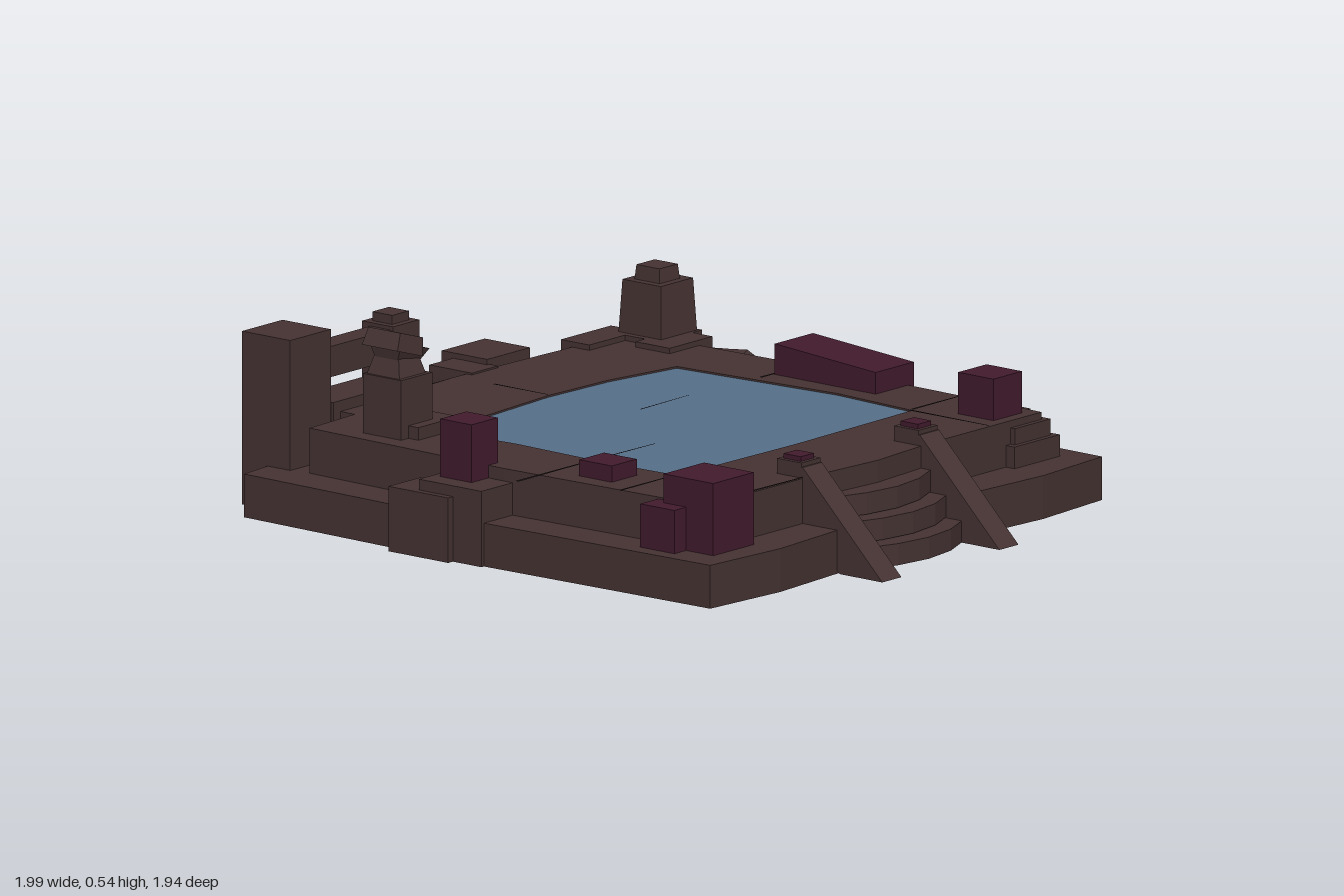
import * as THREE from 'three';

const mat = (color) => new THREE.MeshStandardMaterial({ color, flatShading: true, side: THREE.DoubleSide });

export function createModel() {
  const model = new THREE.Group();
  const stone = mat(0x463333), crateRed = mat(0x421b2d), water = mat(0x56708a), crack = mat(0x1c1414);

  const add = (name, geometry, material = stone, parent = model) => {
    const mesh = new THREE.Mesh(geometry, material);
    mesh.name = name;
    parent.add(mesh);
    return mesh;
  };
  // Block given by its limits; taper narrows the top
  const block = (name, x0, x1, y0, y1, z0, z1, material = stone, taper = 1, parent = model) => {
    const g = new THREE.BoxGeometry(x1 - x0, y1 - y0, z1 - z0);
    const p = g.attributes.position;
    for (let i = 0; i < p.count; i++) {
      if (p.getY(i) > 0) p.setXYZ(i, p.getX(i) * taper, p.getY(i), p.getZ(i) * taper);
    }
    const mesh = add(name, g, material, parent);
    mesh.position.set((x0 + x1) / 2, (y0 + y1) / 2, (z0 + z1) / 2);
    return mesh;
  };
  const vecs = (pts) => pts.map(([x, z]) => new THREE.Vector2(x, -z));
  // Horizontal sheet from an outline in x and z, with an optional opening
  const sheet = (name, pts, y, hole, material = stone) => {
    const s = new THREE.Shape(vecs(pts));
    if (hole) s.holes.push(new THREE.Path(vecs(hole)));
    add(name, new THREE.ShapeGeometry(s).rotateX(-Math.PI / 2).translate(0, y, 0), material);
  };
  // Upright wall that follows a closed outline
  const wall = (name, pts, y0, y1) => {
    const pos = [], index = [], n = pts.length;
    pts.forEach(([x, z], i) => {
      pos.push(x, y0, z, x, y1, z);
      const a = 2 * i, b = 2 * ((i + 1) % n);
      index.push(a, a + 1, b, b, a + 1, b + 1);
    });
    const g = new THREE.BufferGeometry();
    g.setAttribute('position', new THREE.Float32BufferAttribute(pos, 3));
    g.setIndex(index);
    g.computeVertexNormals();
    add(name, g);
  };

  // Two hollow tiers around the pool
  const lower = [[-0.95, -0.83], [-0.84, -0.84], [-0.13, -0.85], [0.4, -0.85], [0.69, -0.83], [0.7, 0], [0.69, 0.81],
    [0.42, 0.83], [0.12, 0.81], [0.12, 0.72], [-0.4, 0.72], [-0.4, 0.81], [-0.68, 0.83], [-0.95, 0.81], [-0.97, 0]];
  const upper = [[-0.83, -0.7], [-0.63, -0.71], [-0.63, -0.76], [-0.13, -0.78], [0.34, -0.76], [0.57, -0.72],
    [0.59, 0], [0.58, 0.69], [0.12, 0.69], [-0.13, 0.71], [-0.4, 0.69], [-0.83, 0.69], [-0.85, 0]];
  const pool = [[-0.63, -0.43], [-0.4, -0.43], [-0.13, -0.45], [0.11, -0.44], [0.35, -0.4], [0.39, 0.13],
    [0.37, 0.41], [-0.13, 0.42], [-0.61, 0.41], [-0.62, 0.13], [-0.61, -0.16]];
  wall('lowerTierWall', lower, 0.01, 0.13);
  sheet('lowerTierTop', lower, 0.13, upper);
  wall('upperTierWall', upper, 0.13, 0.255);
  sheet('upperTierTop', upper, 0.255, pool);
  wall('poolRim', pool, 0.235, 0.255);
  sheet('water', pool, 0.25, null, water);

  // Cracks between the slabs
  for (const [x0, z0, x1, z1, w] of [[-0.95, 0.13, -0.62, 0.13, 0.012], [-0.85, 0.41, -0.61, 0.41, 0.01],
    [0.37, 0.41, 0.58, 0.41, 0.01], [-0.13, -0.64, -0.13, -0.45, 0.008], [0.36, 0.41, 0.36, 0.69, 0.01],
    [-0.7, 0.685, -0.42, 0.69, 0.012], [0.39, -0.14, 0.58, -0.14, 0.01], [-0.62, 0.13, -0.38, 0.135, 0.007],
    [-0.1, -0.15, 0.11, -0.155, 0.005]]) {
    const pts = z0 === 0 || Math.abs(x1 - x0) > Math.abs(z1 - z0)
      ? [[x0, z0 - w / 2], [x1, z1 - w / 4], [x1, z1 + w / 4], [x0, z0 + w / 2]]
      : [[x0 - w / 2, z0], [x1 - w / 4, z1], [x1 + w / 4, z1], [x0 + w / 2, z0]];
    sheet('crack', pts, 0.258, null, crack);
  }

  // Bowed front steps between two sloping stringers
  for (let i = 0; i < 3; i++) {
    const z = 0.82 - i * 0.055;
    const s = new THREE.Shape(vecs([[-0.39, 0.67], [-0.39, z], [-0.24, z + 0.055], [-0.13, z + 0.07],
      [-0.02, z + 0.055], [0.11, z], [0.11, 0.67]]));
    const g = new THREE.ExtrudeGeometry(s, { depth: 0.06, bevelEnabled: false }).rotateX(-Math.PI / 2);
    add('frontStep', g.translate(0, 0.01 + i * 0.062, 0));
  }
  for (const x of [-0.38, 0.11]) {
    const side = new THREE.Shape([[0.97, 0.01], [0.69, 0.285], [0.6, 0.285], [0.6, 0.2], [0.82, 0.01]]
      .map(([z, y]) => new THREE.Vector2(-z, y)));
    const g = new THREE.ExtrudeGeometry(side, { depth: 0.08, bevelEnabled: false });
    add('stepStringer', g.rotateY(Math.PI / 2).translate(x - 0.04, 0, 0));
    block('stringerCap', x - 0.04, x + 0.04, 0.25, 0.297, 0.6, 0.685);
    block('stringerCapTop', x - 0.028, x + 0.028, 0.29, 0.31, 0.612, 0.673, crateRed);
  }

  // Back gateway: two pillars, lintel and the blocks between
  block('gatePillarLarge', -0.84, -0.67, 0.01, 0.49, -0.93, -0.76);
  block('gatePillarSmall', -0.35, -0.24, 0.01, 0.43, -0.92, -0.81);
  block('gatePillarCap', -0.33, -0.26, 0.43, 0.455, -0.9, -0.83);
  block('gateLintel', -0.68, -0.34, 0.335, 0.42, -0.89, -0.82);
  block('gateSill', -0.66, -0.34, 0.13, 0.285, -0.89, -0.76);
  block('gateBackBlock', -0.62, -0.38, 0.1, 0.24, -0.94, -0.85);

  // Back buttresses and blocks
  block('backButtress', 0.02, 0.2, 0.005, 0.275, -0.95, -0.79);
  block('backButtressSide', -0.08, 0.03, 0.08, 0.26, -0.91, -0.76);
  block('backLedge', -0.24, -0.08, 0.13, 0.24, -0.82, -0.74);
  block('backCornerBlock', 0.34, 0.55, 0.08, 0.27, -0.8, -0.7);

  // Back right column
  block('columnBase', 0.45, 0.63, 0.13, 0.27, -0.63, -0.51);
  block('columnFoot', 0.49, 0.67, 0.13, 0.27, -0.75, -0.58);
  block('columnShaft', 0.51, 0.66, 0.27, 0.415, -0.74, -0.59, stone, 0.9);
  block('columnCap', 0.54, 0.625, 0.41, 0.455, -0.71, -0.62, stone, 0.9);

  // Blocks against the sides
  block('leftBlockLow', -1, -0.86, 0.01, 0.19, -0.28, -0.07);
  block('leftBlockHigh', -0.98, -0.83, 0.01, 0.22, -0.19, 0.03);
  block('rightBlock', 0.58, 0.735, 0.01, 0.21, 0.32, 0.52);
  block('rightWedge', 0.57, 0.63, 0.13, 0.27, -0.12, 0.1);
  block('frontRightLedge', 0.43, 0.62, 0.13, 0.19, 0.52, 0.72);
  block('frontRightLedgeTop', 0.45, 0.6, 0.19, 0.235, 0.5, 0.705);

  // Red crates
  block('crateFrontLeft', -0.86, -0.69, 0.13, 0.33, 0.57, 0.745, crateRed);
  block('crateFrontLeftLow', -0.91, -0.77, 0.13, 0.25, 0.53, 0.65, crateRed);
  block('crateLeft', -0.92, -0.81, 0.13, 0.38, -0.165, -0.055, crateRed);
  block('crateLeftSmall', -0.785, -0.68, 0.2, 0.3, 0.21, 0.325, crateRed);
  block('crateFrontRight', 0.42, 0.54, 0.2, 0.37, 0.53, 0.655, crateRed);
  const bench = new THREE.Shape([[-0.215, 0.14], [0.14, 0.14], [0.14, 0.34], [-0.215, 0.315]]
    .map(([z, y]) => new THREE.Vector2(z, y)));
  add('crateRightLong', new THREE.ExtrudeGeometry(bench, { depth: 0.16, bevelEnabled: false })
    .rotateY(Math.PI / 2).translate(0.45, 0, 0), crateRed);

  // Broken post at the back left of the pool
  block('brokenPostBase', -0.75, -0.58, 0.25, 0.29, -0.52, -0.385);
  block('brokenPostShaft', -0.78, -0.65, 0.25, 0.42, -0.555, -0.42);
  block('brokenPostMiddle', -0.775, -0.66, 0.41, 0.47, -0.55, -0.43, stone, 0.72);
  const tip = block('brokenPostTip', -0.755, -0.67, 0.455, 0.5, -0.53, -0.45, stone, 1.45);
  tip.rotation.z = -0.25;
  const shard = block('brokenPostShard', -0.785, -0.675, 0.485, 0.535, -0.55, -0.425, stone, 0.9);
  shard.rotation.z = -0.3;

  // Fallen column with grooves and a sloping broken end
  const fallen = new THREE.Group();
  fallen.name = 'fallenColumn';
  fallen.position.set(0.835, 0.08, -0.755);
  fallen.rotation.y = Math.atan2(0.2, 0.375);
  model.add(fallen);
  block('fallenCore', -0.055, 0.055, -0.06, 0.06, -0.2, 0.05, stone, 1, fallen);
  block('fallenEnd', -0.066, 0.066, -0.07, 0.07, -0.21, -0.17, stone, 1, fallen);
  block('fallenBand', -0.066, 0.066, -0.07, 0.07, 0.04, 0.07, stone, 1, fallen);
  for (const t of [-0.054, -0.018, 0.018, 0.054]) {
    for (const s of [-1, 1]) {
      block('fallenSideRib', s * 0.06 - 0.006, s * 0.06 + 0.006, t - 0.01, t + 0.01, -0.18, 0.05, stone, 1, fallen);
      block('fallenFaceRib', t - 0.01, t + 0.01, s * 0.064 - 0.006, s * 0.064 + 0.006, -0.18, 0.05, stone, 1, fallen);
    }
  }
  const broken = new THREE.Shape([[-0.07, -0.07], [-0.21, -0.07], [-0.18, 0.04], [-0.14, 0.07], [-0.07, 0.07]]
    .map(([x, y]) => new THREE.Vector2(x, y)));
  add('fallenBrokenEnd', new THREE.ExtrudeGeometry(broken, { depth: 0.124, bevelEnabled: false })
    .rotateY(Math.PI / 2).translate(-0.062, 0, 0), stone, fallen);
  return model;
}
